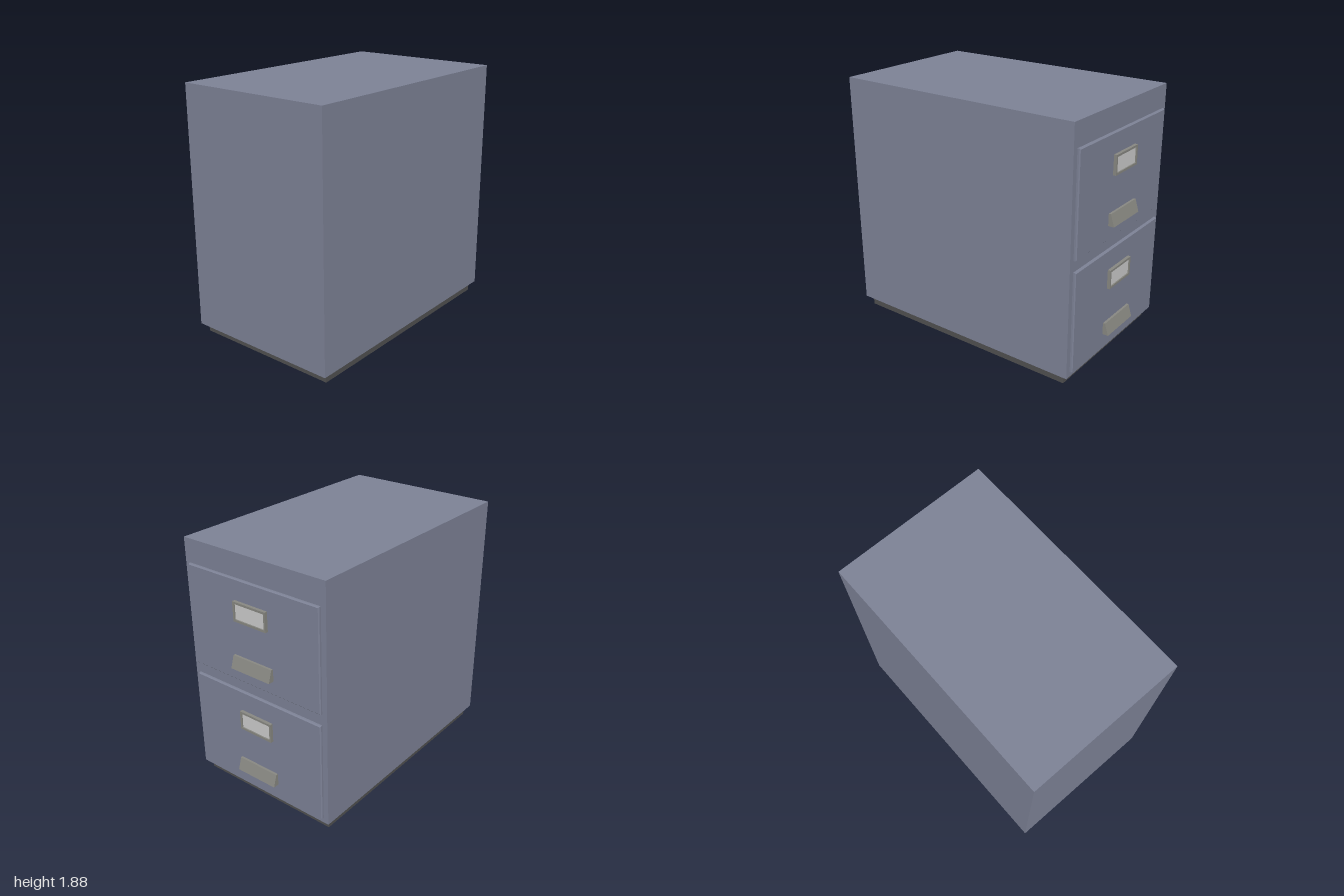
import * as THREE from 'three';

const paint = (color) => new THREE.MeshStandardMaterial({ color });
const bodyMat = paint(0x7d8296);
const baseMat = paint(0x505050);
const metalMat = paint(0x888882);
const cardMat = paint(0xbcbcbc);

function add(parent, name, geometry, material, x = 0, y = 0, z = 0) {
  const mesh = new THREE.Mesh(geometry, material);
  mesh.name = name;
  mesh.position.set(x, y, z);
  parent.add(mesh);
  return mesh;
}

// Rectangle centred on the origin, w wide and h high
function rect(w, h, Type = THREE.Shape) {
  return new Type([
    new THREE.Vector2(-w / 2, -h / 2), new THREE.Vector2(w / 2, -h / 2),
    new THREE.Vector2(w / 2, h / 2), new THREE.Vector2(-w / 2, h / 2),
  ]);
}

// Drawer built around its own centre, back plane at x = 0, facing +x
function createDrawer() {
  const drawer = new THREE.Group();

  // Front panel with a small chamfer around its face
  const bevel = 0.007;
  const panel = new THREE.ExtrudeGeometry(rect(1.135 - 2 * bevel, 0.757 - 2 * bevel), {
    depth: 0.013, bevelEnabled: true, bevelSize: bevel, bevelThickness: bevel, bevelSegments: 1,
  });
  panel.rotateY(Math.PI / 2);
  add(drawer, 'drawerFront', panel, bodyMat);

  // Label holder: rectangular frame around a recessed card
  const frameShape = rect(0.286, 0.144);
  frameShape.holes.push(rect(0.258, 0.112, THREE.Path));
  const frame = new THREE.ExtrudeGeometry(frameShape, { depth: 0.025, bevelEnabled: false });
  frame.rotateY(Math.PI / 2);
  add(drawer, 'labelFrame', frame, metalMat, 0.018, 0.156);
  add(drawer, 'labelCard', new THREE.BoxGeometry(0.015, 0.112, 0.258), cardMat, 0.0265, 0.156);

  // Wedge pull, deeper at the bottom than at the top
  const profile = new THREE.Shape([
    new THREE.Vector2(0.018, -0.27), new THREE.Vector2(0.065, -0.27),
    new THREE.Vector2(0.037, -0.18), new THREE.Vector2(0.018, -0.18),
  ]);
  const pull = new THREE.ExtrudeGeometry(profile, { depth: 0.344, bevelEnabled: false });
  add(drawer, 'handle', pull, metalMat, 0, 0, -0.172);

  return drawer;
}

export function createModel() {
  const cabinet = new THREE.Group();
  cabinet.name = 'filingCabinet';

  // Plinth and cabinet body
  add(cabinet, 'base', new THREE.BoxGeometry(1.84, 0.07, 1.15), baseMat, -0.03, 0.035);
  add(cabinet, 'body', new THREE.BoxGeometry(1.935, 1.81, 1.215), bodyMat, -0.0325, 0.975);

  // Two drawers stacked on the +x side
  [['lowerDrawer', 0.487], ['upperDrawer', 1.328]].forEach(([name, y]) => {
    const drawer = createDrawer();
    drawer.name = name;
    drawer.position.set(0.935, y, 0);
    cabinet.add(drawer);
  });

  return cabinet;
}
